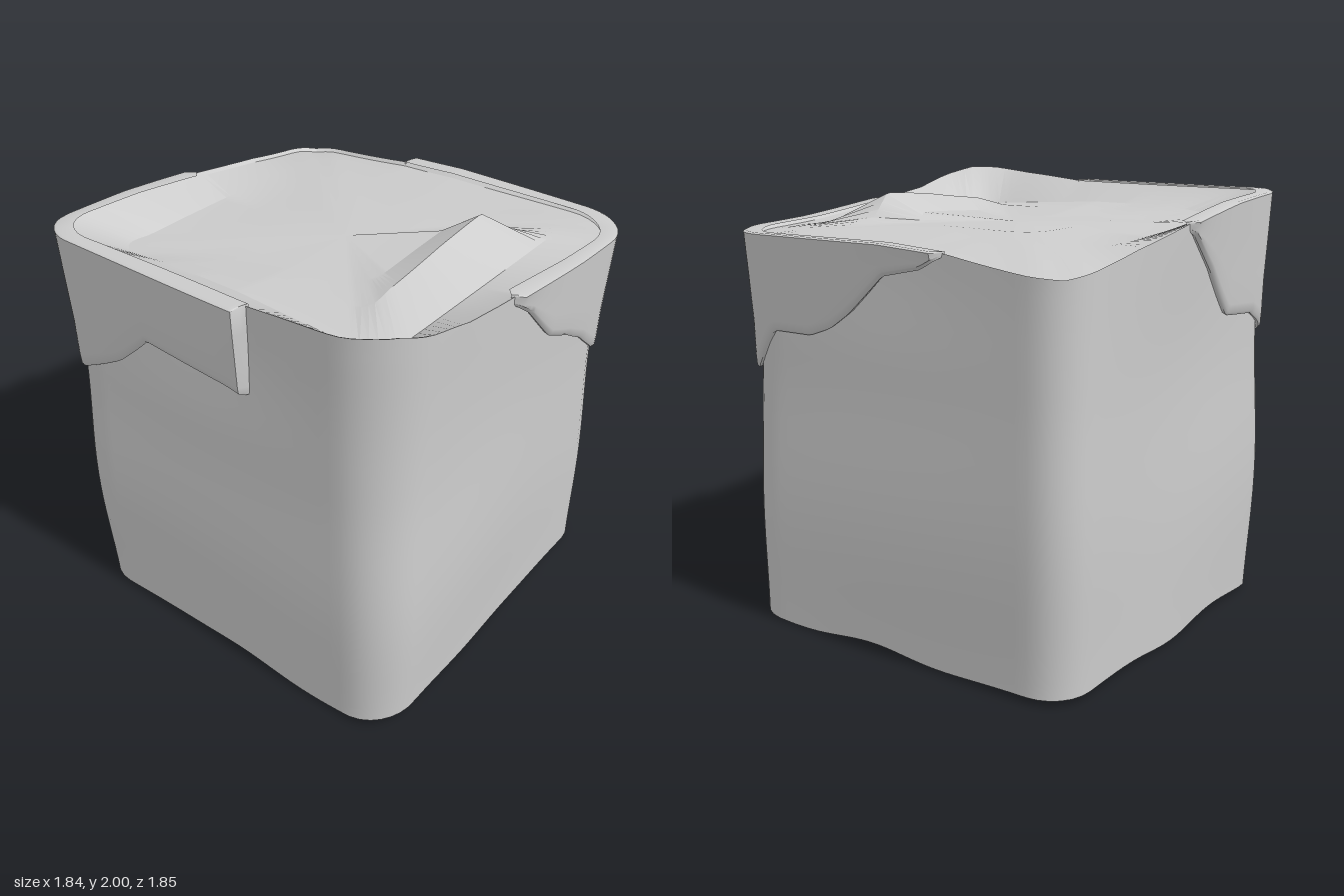
import * as THREE from 'three';
import { mergeVertices, toCreasedNormals } from 'three/addons/utils/BufferGeometryUtils.js';

const TAU = Math.PI * 2;
const N = 160;

// Distance from the axis to a rounded square (half size h, corner radius r) at an angle
function radius(a, h, r) {
  const c = Math.abs(Math.cos(a)), s = Math.abs(Math.sin(a)), k = h - r;
  const t = h / Math.max(c, s);
  if (t * Math.min(c, s) <= k) return t;
  const b = k * (c + s);
  return b + Math.sqrt(b * b - 2 * k * k + r * r);
}

// Height as a function of angle, from [x, z, y] points listed in order around the block
function heightAround(points, closed) {
  const list = closed ? [...points, points[0]] : points;
  const keys = [];
  for (const [x, z, y] of list) {
    let a = Math.atan2(z, x);
    while (keys.length && a < keys[keys.length - 1][0]) a += TAU;
    keys.push([a, y]);
  }
  const first = keys[0][0], last = keys[keys.length - 1][0];
  const at = (a) => {
    if (closed) while (a < first) a += TAU;
    if (closed) while (a > last) a -= TAU;
    let i = 1;
    while (i < keys.length - 1 && keys[i][0] < a) i++;
    const [a0, y0] = keys[i - 1], [a1, y1] = keys[i];
    return y0 + (y1 - y0) * THREE.MathUtils.clamp((a - a0) / (a1 - a0), 0, 1);
  };
  return { at, first, last };
}

// Skin over rows of points; each row is a function of angle
function loft(rows, from, to, count, crease) {
  const pos = [], index = [];
  for (const row of rows) {
    for (let i = 0; i <= count; i++) pos.push(...row(from + ((to - from) * i) / count));
  }
  const w = count + 1;
  for (let j = 0; j < rows.length - 1; j++) {
    for (let i = 0; i < count; i++) {
      const p = j * w + i, q = p + w;
      index.push(p, q, p + 1, p + 1, q, q + 1);
    }
  }
  let g = new THREE.BufferGeometry();
  g.setAttribute('position', new THREE.Float32BufferAttribute(pos, 3));
  g.setIndex(index);
  g = mergeVertices(g, 1e-4);
  return toCreasedNormals(g, crease);
}

const polar = (a, r, y) => [Math.cos(a) * r, y, Math.sin(a) * r];

// Uneven upper rim, high at one corner and low at the opposite one
const rim = heightAround([
  [0.88, -0.7, 1.69], [0.88, -0.3, 1.745], [0.88, 0, 1.765], [0.85, 0.85, 1.77],
  [0.4, 0.88, 1.8], [0, 0.88, 1.85], [-0.2, 0.88, 1.875], [-0.4, 0.88, 1.905],
  [-0.6, 0.88, 1.96], [-0.76, 0.82, 2], [-0.84, 0.74, 2], [-0.88, 0.55, 1.975], [-0.88, 0.2, 1.94],
  [-0.85, -0.85, 1.925], [-0.4, -0.88, 1.89], [0, -0.88, 1.83], [0.4, -0.88, 1.76],
  [0.85, -0.85, 1.68],
], true);

// Foot of the slope that runs down inside the rim
const band = heightAround([
  [0.68, -0.3, 1.745], [0.68, 0.4, 1.77], [0.5, 0.66, 1.79], [0, 0.7, 1.8],
  [-0.4, 0.68, 1.81], [-0.62, 0.62, 1.82], [-0.68, 0.4, 1.83], [-0.69, 0, 1.85],
  [-0.69, -0.4, 1.845], [-0.65, -0.65, 1.815], [-0.5, -0.7, 1.785], [-0.3, -0.68, 1.78],
  [0.3, -0.68, 1.755], [0.65, -0.65, 1.73],
], true);

// Folded plateau inside the rim, lifted to a peak along the front
const fold = heightAround([
  [0.47, 0, 1.78], [0.47, 0.45, 1.79], [0.4, 0.47, 1.82], [0.31, 0.47, 1.925],
  [0.2, 0.47, 1.92], [0, 0.47, 1.905], [-0.35, 0.47, 1.87], [-0.47, 0.4, 1.83],
  [-0.47, 0, 1.825], [-0.47, -0.45, 1.79], [0, -0.47, 1.775], [0.47, -0.47, 1.755],
], true);

const base = (a) => 0.026 + 0.012 * Math.sin(a * 6 + 1) + 0.006 * Math.sin(a * 9);

// Gently bulging outline, with the two front corners worn rounder towards the top
function outline(a, y) {
  const h = 0.879 + 0.008 * Math.sin(y * 4.6 - 1.2) + 0.005 * Math.sin(a * 3 + y * 3);
  const wornRight = Math.max(0, Math.cos(a - Math.PI * 0.75)) ** 2;
  const wornLeft = Math.max(0, Math.cos(a - Math.PI * 0.25)) ** 2;
  return radius(a, h, 0.18 + wornRight * (0.03 + 0.04 * y) + wornLeft * (0.01 + 0.03 * y));
}

// The block's left and right sides lean inwards near the rim
function sideRadius(a, y) {
  return outline(a, y) - 0.035 * Math.cos(a) ** 2 * THREE.MathUtils.smoothstep(y, 1.25, 1.85);
}

const sidePoint = (t) => (a) => {
  const y = base(a) + (rim.at(a) - base(a)) * t;
  return polar(a, sideRadius(a, y), y);
};

// Corner flap: a thin shell over the side, thinning out towards both ends
function cornerFlap(points, material, name) {
  const low = heightAround(points, false);
  const row = (t, out, lift) => (a) => {
    const top = rim.at(a) + 0.006;
    const bottom = Math.min(low.at(a), top - 0.01);
    const y = bottom + (top - bottom) * t + lift;
    const end = Math.min(a - low.first, low.last - a);
    const fade = THREE.MathUtils.clamp(end / 0.04, 0, 1);
    const inner = sideRadius(a, y) - 0.012;
    return polar(a, inner + (outline(a, y) + out - inner) * fade, y);
  };
  const rows = [
    row(0, -0.012, 0.012), row(0, 0.012, 0), row(0, 0.023, 0.012), row(0.08, 0.027, 0.008),
    row(0.35, 0.028, 0), row(0.7, 0.032, 0), row(1, 0.036, -0.004), row(1, 0.022, 0.002),
    row(1, -0.045, 0),
  ];
  const mesh = new THREE.Mesh(loft(rows, low.first, low.last, 90, 0.9), material);
  mesh.name = name;
  return mesh;
}

export function createModel() {
  const group = new THREE.Group();
  group.name = 'block';
  const material = new THREE.MeshStandardMaterial({ color: 0xcccccc, side: THREE.DoubleSide });
  const add = (name, rows, crease) => {
    const mesh = new THREE.Mesh(loft(rows, 0, TAU, N, crease), material);
    mesh.name = name;
    group.add(mesh);
  };

  // Sides
  const sideRows = [];
  for (let j = 0; j <= 24; j++) sideRows.push(sidePoint(j / 24));
  add('sides', sideRows, 1);

  // Underside
  add('underside', [
    () => [0, 0.004, 0],
    (a) => polar(a, sideRadius(a, 0) * 0.6, 0.004),
    sidePoint(0),
  ], 0.5);

  // Sunken top with a narrow lip, a sloping band and a folded middle
  add('top', [
    sidePoint(1),
    (a) => polar(a, sideRadius(a, rim.at(a)) - 0.02, rim.at(a) - 0.012),
    (a) => polar(a, radius(a, 0.69, 0.14), band.at(a)),
    (a) => polar(a, radius(a, 0.475, 0.06), fold.at(a)),
    (a) => polar(a, radius(a, 0.34, 0.15), 1.8 + (fold.at(a) - 1.8) * 0.3),
    () => [0, 1.8, 0],
  ], 0.3);

  // Flaps on two opposite corners, given by their ragged lower edges
  group.add(cornerFlap([
    [0.9, -0.3, 1.735], [0.9, -0.2, 1.68], [0.9, 0, 1.64], [0.9, 0.2, 1.47], [0.9, 0.31, 1.4],
    [0.9, 0.43, 1.36], [0.9, 0.65, 1.36], [0.88, 0.76, 1.22], [0.85, 0.82, 1.17],
    [0.8, 0.86, 1.17], [0.72, 0.9, 1.21], [0.55, 0.9, 1.35], [0.4, 0.9, 1.44],
    [0.22, 0.9, 1.53], [0.02, 0.9, 1.74], [-0.1, 0.9, 1.83],
  ], material, 'frontLeftFlap'));
  group.add(cornerFlap([
    [-0.9, 0.21, 1.54], [-0.9, 0.1, 1.56], [-0.9, -0.33, 1.59], [-0.9, -0.52, 1.42],
    [-0.86, -0.8, 1.26], [-0.8, -0.86, 1.29], [-0.66, -0.9, 1.38], [-0.4, -0.9, 1.4],
    [-0.2, -0.9, 1.62], [0.01, -0.9, 1.81],
  ], material, 'backRightFlap'));
  return group;
}
